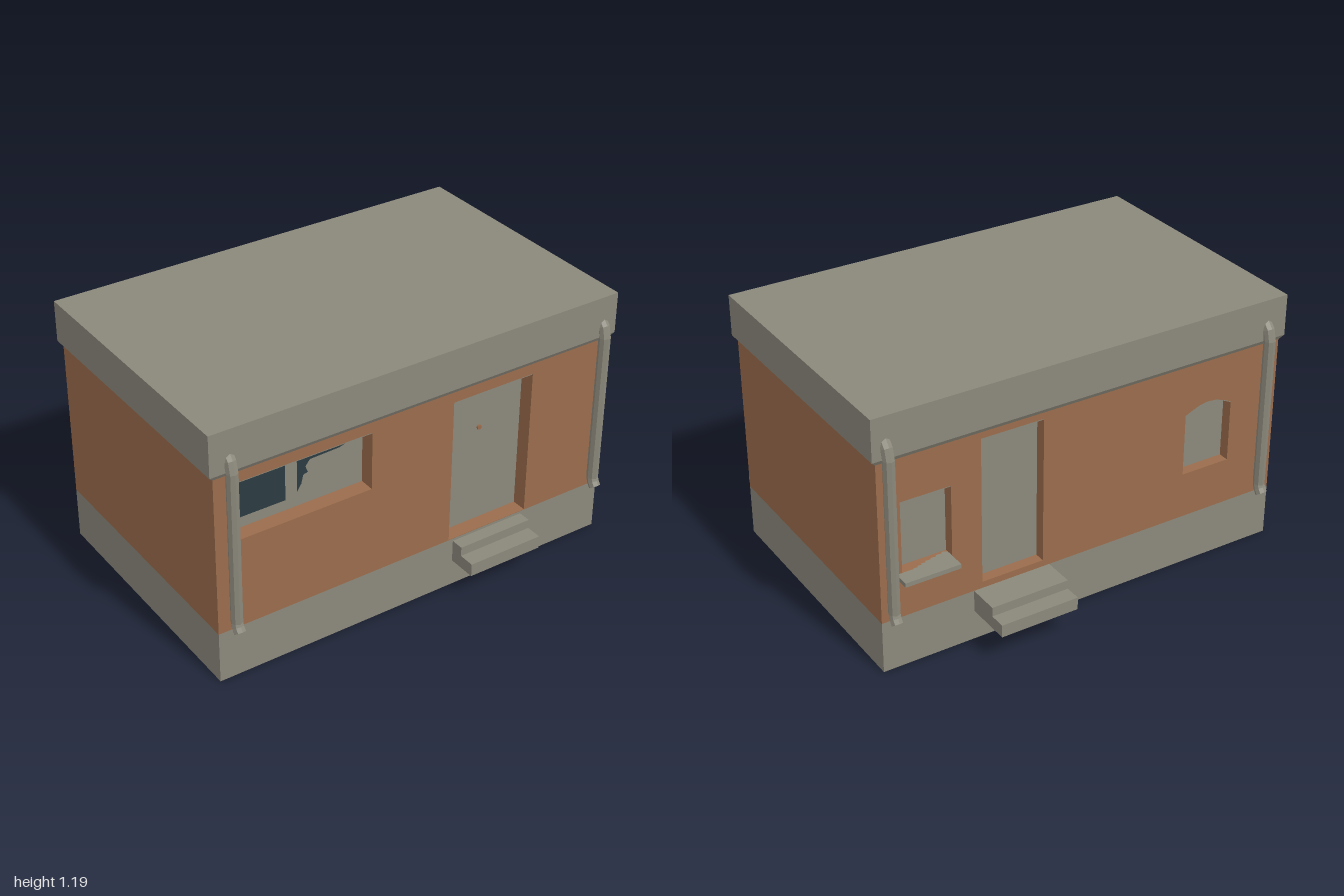
import * as THREE from 'three';

const grey = new THREE.MeshStandardMaterial({ color: 0x8b887b });
const brick = new THREE.MeshStandardMaterial({ color: 0x9b6c4c });
const glass = new THREE.MeshStandardMaterial({ color: 0x2b3a40 });
grey.name = 'concrete grey';
brick.name = 'brick orange';
glass.name = 'dark glass';

const FRONT = 0.655, BACK = -0.573, W = 0.98;   // outer wall planes
const CORE_F = 0.585, CORE_B = -0.523;          // planes of the recessed door and window panels
const BASE = 0.24, EAVES = 0.985;

export function createModel() {
  const root = new THREE.Group();

  function add(name, geometry, material, parent = root) {
    const m = new THREE.Mesh(geometry, material);
    m.name = name;
    parent.add(m);
    return m;
  }
  // box given by its limits
  function box(name, x0, x1, y0, y1, z0, z1, material, parent) {
    const m = add(name, new THREE.BoxGeometry(x1 - x0, y1 - y0, z1 - z0), material, parent);
    m.position.set((x0 + x1) / 2, (y0 + y1) / 2, (z0 + z1) / 2);
    return m;
  }
  const toShape = pts => new THREE.Shape(pts.map(p => new THREE.Vector2(...p)));

  // foundation and core: brick on the ends, grey panels front and back
  box('foundation', -W, W, 0, BASE, BACK, FRONT, grey);
  box('core', -W, W, BASE, EAVES, CORE_B, CORE_F, [brick, brick, grey, grey, grey, grey]);

  // flat roof slab with a chamfered lower edge
  const roofGeo = new THREE.BoxGeometry(2, 0.21, 1.254, 1, 2, 1).toNonIndexed();
  const rp = roofGeo.attributes.position;
  for (let i = 0; i < rp.count; i++) {
    const y = rp.getY(i);
    if (Math.abs(y) < 0.01) rp.setY(i, -0.085);
    if (y < -0.1) {
      rp.setX(i, rp.getX(i) * 0.981);
      rp.setZ(i, rp.getZ(i) * 0.981);
    }
  }
  roofGeo.computeVertexNormals();
  add('roof', roofGeo, grey).position.set(0, 1.085, 0.041);

  // openings: side limits, bottom, and height of the top as a list of points from left to right
  const rect = (x0, x1, y0, y1) => ({ x0, x1, y0, top: [[x0, y1], [x1, y1]] });
  function arched(x0, x1, y0, spring, rise) {
    const top = [];
    for (let i = 0; i <= 6; i++) {
      const t = i / 6;
      top.push([x0 + (x1 - x0) * t, spring + rise * Math.sin(Math.PI * t)]);
    }
    return { x0, x1, y0, top };
  }

  // wall with openings and grey lintels on their undersides
  function wall(name, z0, z1, openings) {
    const g = new THREE.Group();
    g.name = name;
    root.add(g);
    const shape = toShape([[-W, BASE], [W, BASE], [W, EAVES], [-W, EAVES]]);
    const options = { depth: z1 - z0, bevelEnabled: false };
    for (const o of openings) {
      const pts = [[o.x1, o.y0], [o.x0, o.y0], ...o.top];
      shape.holes.push(new THREE.Path(pts.map(p => new THREE.Vector2(...p))));
      const band = [...o.top, ...o.top.map(([x, y]) => [x, y - 0.004]).reverse()];
      const inset = { depth: z1 - z0 - 0.002, bevelEnabled: false };
      add('lintel', new THREE.ExtrudeGeometry(toShape(band), inset), grey, g).position.z = z0 + 0.001;
    }
    add('brickwork', new THREE.ExtrudeGeometry(shape, options), brick, g).position.z = z0;
  }
  wall('frontWall', CORE_F, FRONT, [
    rect(-0.89, -0.245, 0.66, 0.93),
    rect(0.16, 0.57, 0.242, 0.93),
  ]);
  wall('backWall', BACK, CORE_B, [
    rect(0.65, 0.88, 0.45, 0.78),
    rect(0.215, 0.51, 0.27, 0.95),
    arched(-0.74, -0.5, 0.455, 0.745, 0.037),
  ]);

  // front window panes and door knob
  const panes = {
    leftPane: [[-0.882, 0.71], [-0.615, 0.71], [-0.615, 0.885], [-0.882, 0.885]],
    brokenPane: [[-0.56, 0.73], [-0.54, 0.76], [-0.53, 0.8], [-0.508, 0.805], [-0.52, 0.835],
      [-0.498, 0.862], [-0.36, 0.866], [-0.315, 0.878], [-0.33, 0.885], [-0.56, 0.888]],
  };
  for (const [name, pts] of Object.entries(panes)) {
    add(name, new THREE.ShapeGeometry(toShape(pts)), glass).position.z = CORE_F + 0.003;
  }
  const knob = add('doorKnob', new THREE.CylinderGeometry(0.011, 0.011, 0.008, 8), brick);
  knob.rotation.x = Math.PI / 2;
  knob.position.set(0.35, 0.71, CORE_F + 0.004);

  // sill below the back window
  box('backWindowSill', 0.65, 0.905, 0.43, 0.45, -0.645, CORE_B, grey);

  // two steps at each door
  box('frontLowerStep', 0.183, 0.55, 0.125, 0.185, FRONT, 0.79, grey);
  box('frontUpperStep', 0.183, 0.55, 0.185, 0.228, FRONT, 0.715, grey);
  box('backLowerStep', 0.183, 0.55, 0.14, 0.198, -0.79, BACK, grey);
  box('backUpperStep', 0.183, 0.55, 0.198, 0.24, -0.715, BACK, grey);

  // drainpipe: a cylinder whose rings follow a path of [y, z] from top to bottom
  function pipe(name, x, path) {
    const n = path.length - 1;
    const geo = new THREE.CylinderGeometry(0.026, 0.026, n, 8, n).toNonIndexed();
    const p = geo.attributes.position;
    for (let i = 0; i < p.count; i++) {
      const k = Math.round(n / 2 - p.getY(i));
      const a = path[Math.max(k - 1, 0)], b = path[Math.min(k + 1, n)];
      const len = Math.hypot(a[0] - b[0], a[1] - b[1]);
      const c = (a[0] - b[0]) / len, s = (a[1] - b[1]) / len;
      const z = p.getZ(i);
      p.setXYZ(i, p.getX(i), path[k][0] - s * z, path[k][1] + c * z);
    }
    geo.computeVertexNormals();
    add(name, geo, grey).position.x = x;
  }
  const profile = [[1.07, -0.035], [1.045, -0.012], [1.0, 0], [0.29, 0], [0.268, 0.007], [0.247, 0.022]];
  for (const [side, x] of [['right', -0.907], ['left', 0.937]]) {
    pipe(side + 'FrontPipe', x, profile.map(([y, d]) => [y, 0.677 + d]));
    pipe(side + 'BackPipe', x, profile.map(([y, d]) => [y + 0.005, -0.602 - d]));
  }

  return root;
}
